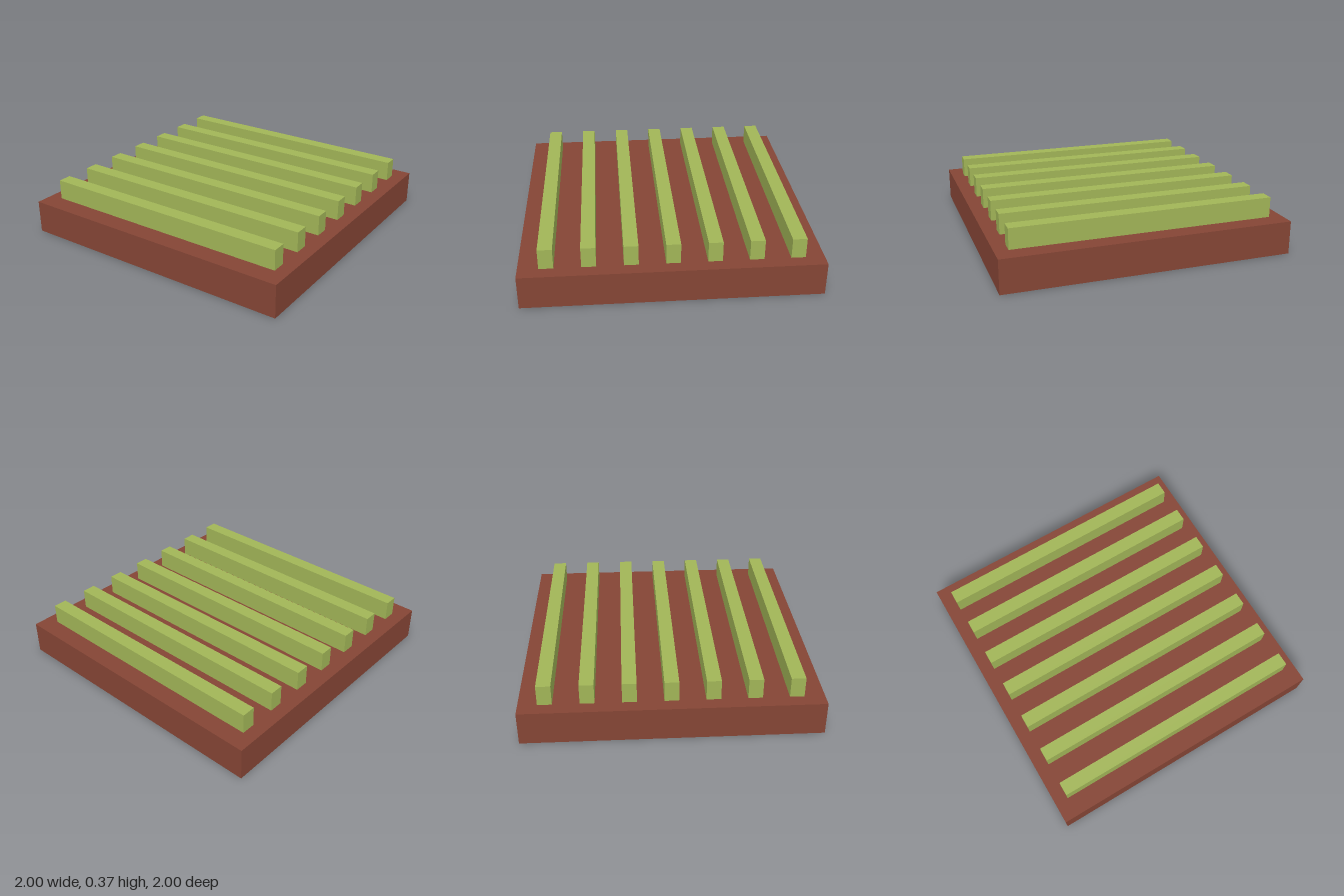
import * as THREE from 'three';

// Thin-walled box with no underside, standing on y = bottom
function openBox(width, height, depth, bottom) {
  const geometry = new THREE.BoxGeometry(width, height, depth);
  const index = Array.from(geometry.index.array);
  index.splice(18, 6); // fourth face of the box is its underside
  geometry.setIndex(index);
  geometry.clearGroups();
  geometry.translate(0, bottom + height / 2, 0);
  return geometry;
}

export function createModel() {
  const model = new THREE.Group();
  model.name = 'slattedTray';

  const brown = new THREE.MeshStandardMaterial({ color: 0x854535, side: THREE.DoubleSide });
  brown.name = 'brown';
  const green = new THREE.MeshStandardMaterial({ color: 0xa1b557, side: THREE.DoubleSide });
  green.name = 'green';

  // Hollow square base, open below
  const base = new THREE.Mesh(openBox(2, 0.233, 2, 0), brown);
  base.name = 'base';
  model.add(base);

  // Seven parallel slats, sunk through the top of the base
  const slatGeometry = openBox(1.814, 0.234, 0.096, 0.14);
  const slats = new THREE.Group();
  slats.name = 'slats';
  for (let i = -3; i <= 3; i++) {
    const slat = new THREE.Mesh(slatGeometry, green);
    slat.name = 'slat';
    slat.position.z = i * 0.2735 - 0.005;
    slats.add(slat);
  }
  model.add(slats);

  return model;
}
